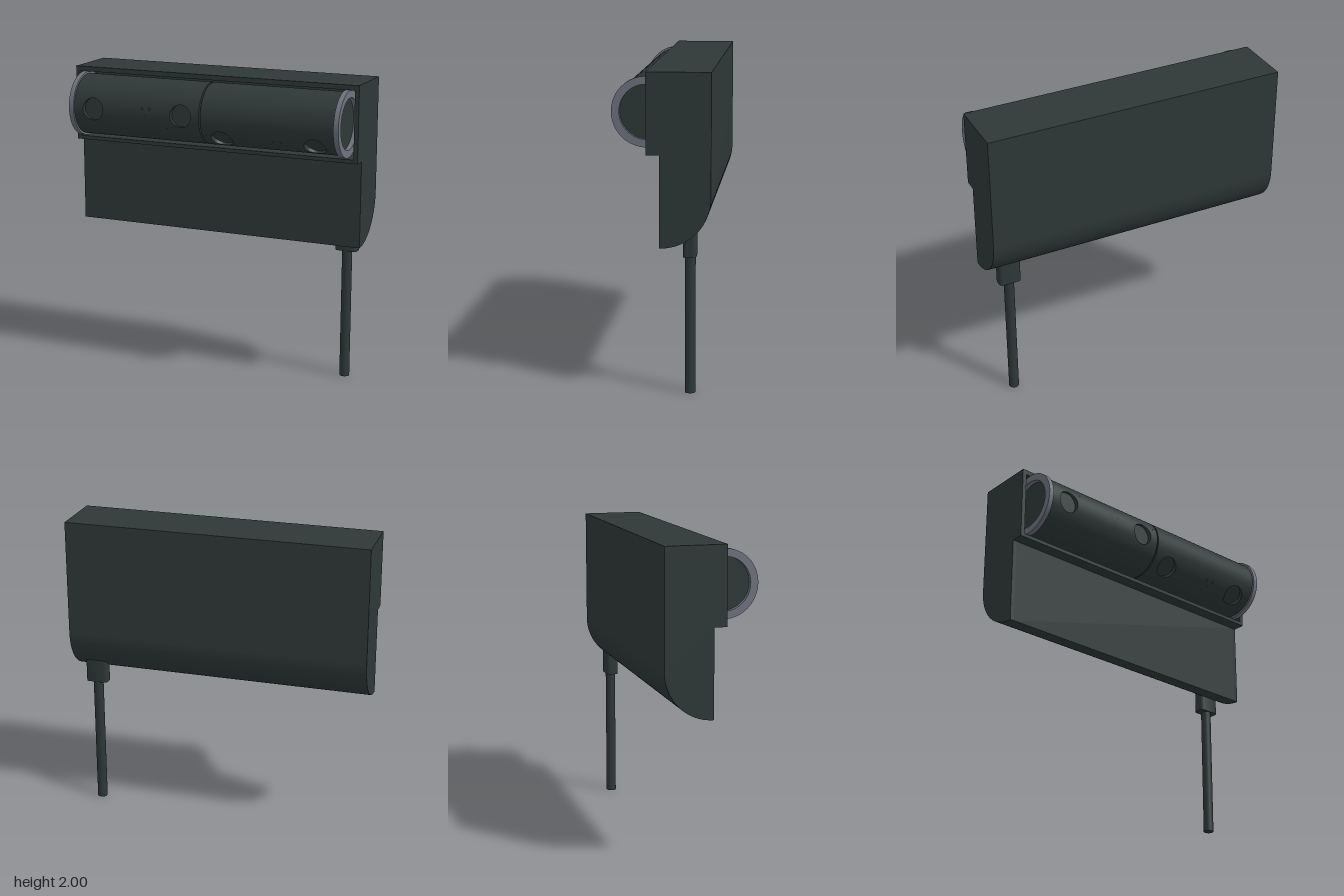
import * as THREE from 'three';
import { mergeGeometries, toCreasedNormals } from 'three/addons/utils/BufferGeometryUtils.js';

const R = 0.2;            // barrel radius
const HOLE = 0.073;       // lens hole radius
const H = 0.1;            // half width of the surface patch around a lens hole
const FLOOR = 0.168;      // distance of the lens floor from the barrel axis
const AXIS_Y = 1.755, AXIS_Z = 0.09;

// Surface from a rule fn(u, v) -> [x, y, z]; it faces du x dv
function grid(fn, nu, nv) {
  const pos = [], idx = [];
  for (let j = 0; j <= nv; j++)
    for (let i = 0; i <= nu; i++) pos.push(...fn(i / nu, j / nv));
  const w = nu + 1;
  for (let j = 0; j < nv; j++)
    for (let i = 0; i < nu; i++) {
      const a = j * w + i;
      idx.push(a, a + 1, a + w + 1, a, a + w + 1, a + w);
    }
  const g = new THREE.BufferGeometry();
  g.setAttribute('position', new THREE.Float32BufferAttribute(pos, 3));
  g.setIndex(idx);
  return g;
}

const onBarrel = (x, y) => [x, y, Math.sqrt(R * R - y * y)];

// Closed tube from x0 to x1 with round lens holes facing +z
function barrelGeometry(x0, x1, lenses) {
  const a = Math.asin(H / R), parts = [];
  const turn = v => v * Math.PI * 2;
  parts.push(grid((u, v) => {
    const t = a + v * (Math.PI * 2 - 2 * a);
    return [x0 + u * (x1 - x0), R * Math.sin(t), R * Math.cos(t)];
  }, 1, 56));
  // plain stretches of the front band, between the lens patches
  const stops = [x0, ...lenses.flatMap(c => [c - H, c + H]), x1];
  for (let i = 0; i < stops.length; i += 2) {
    parts.push(grid((u, v) =>
      onBarrel(stops[i] + u * (stops[i + 1] - stops[i]), R * Math.sin(a * (2 * v - 1))), 1, 12));
  }
  for (const c of lenses) {
    // skin from the round hole out to a square
    parts.push(grid((u, v) => {
      const x = Math.cos(turn(v)), y = Math.sin(turn(v));
      const r = HOLE + u * (H / Math.max(Math.abs(x), Math.abs(y)) - HOLE);
      return onBarrel(c + r * x, Math.max(-H, Math.min(H, r * y)));
    }, 5, 48));
    // hole wall
    parts.push(grid((u, v) => {
      const x = HOLE * Math.cos(turn(v)), y = HOLE * Math.sin(turn(v));
      return [c + x, y, FLOOR + u * (Math.sqrt(R * R - y * y) - FLOOR)];
    }, 1, 48));
  }
  // end faces
  for (const [x, s] of [[x0, 1], [x1, -1]]) {
    parts.push(grid((u, v) =>
      [x, u * R * Math.sin(s * turn(v)), u * R * Math.cos(s * turn(v))], 1, 64));
  }
  return toCreasedNormals(mergeGeometries(parts), 0.5);
}

// Extrude a (-z, y) profile along x
function extrudeX(shape, x0, x1) {
  const g = new THREE.ExtrudeGeometry(shape, { depth: x1 - x0, bevelEnabled: false, curveSegments: 32 });
  g.rotateY(Math.PI / 2).translate(x0, 0, 0);
  return toCreasedNormals(g, 0.5);
}

// Side profile of the housing, with or without the barrel recess
function housingProfile(recessed) {
  const s = new THREE.Shape();
  s.moveTo(-0.01, 0.94);
  s.absarc(-0.01, 1.25, 0.31, -Math.PI / 2, 0, false);
  s.lineTo(0.3, 2);
  s.lineTo(-0.09, 2);
  if (recessed) {
    s.lineTo(-0.09, 1.968);
    s.lineTo(0.14, 1.968);
    s.lineTo(0.14, 1.53);
    s.lineTo(-0.09, 1.53);
  }
  s.lineTo(-0.09, 1.505);
  s.lineTo(-0.01, 1.505);
  s.closePath();
  return s;
}

export function createModel() {
  const model = new THREE.Group();
  const shell = new THREE.MeshStandardMaterial({ name: 'dark shell', color: 0x2e3837 });
  const trim = new THREE.MeshStandardMaterial({ name: 'grey trim', color: 0x6f727d });
  const dark = new THREE.MeshStandardMaterial({ name: 'sensor dark', color: 0x222a2a });
  const add = (name, geometry, material, parent = model) => {
    const m = new THREE.Mesh(geometry, material);
    m.name = name;
    parent.add(m);
    return m;
  };

  // Housing: recessed middle and two solid cheeks
  add('housing', extrudeX(housingProfile(true), -0.965, 0.965), shell);
  for (const s of [-1, 1]) {
    const cheek = extrudeX(housingProfile(false), s < 0 ? -0.993 : 0.965, s < 0 ? -0.965 : 0.993);
    add(s < 0 ? 'rightCheek' : 'leftCheek', cheek, shell);
  }

  // Two swivelling camera barrels; the left one is tilted down
  const barrels = [
    { name: 'rightBarrel', x0: -0.905, x1: -0.005, lenses: [-0.765, -0.135], mic: -0.38, tilt: 0, end: -1 },
    { name: 'leftBarrel', x0: 0.005, x1: 0.905, lenses: [0.133, 0.763], mic: 0.515, tilt: Math.PI / 4, end: 1 },
  ];
  for (const b of barrels) {
    const group = new THREE.Group();
    group.name = b.name;
    group.position.set(0, AXIS_Y, AXIS_Z);
    group.rotation.x = b.tilt;
    model.add(group);
    add('barrelShell', barrelGeometry(b.x0, b.x1, b.lenses), shell, group);
    for (const x of b.lenses)
      add('lens', new THREE.CircleGeometry(HOLE, 48).translate(x, 0, FLOOR), shell, group);
    // three small sensor dots
    for (const [dx, y, r] of [[-0.026, 0.03, 0.013], [0.026, 0.03, 0.013], [0, -0.012, 0.007]]) {
      const dot = add('sensorDot', new THREE.CircleGeometry(r, 20), dark, group);
      const t = Math.asin(y / R);
      dot.rotation.x = -t;
      dot.position.set(b.mic + dx, (R + 0.001) * Math.sin(t), (R + 0.001) * Math.cos(t));
    }
    // trim ring on the outer end
    const ring = new THREE.Shape().absarc(0, 0, 0.213, 0, Math.PI * 2, false);
    ring.holes.push(new THREE.Path().absarc(0, 0, 0.165, 0, Math.PI * 2, true));
    add('endRing', extrudeX(ring, b.end < 0 ? -0.935 : 0.902, b.end < 0 ? -0.902 : 0.935), trim, group);
  }

  // Cable plug with rounded corners, tucked under the curved back
  const w = 0.073, d = 0.04, c = 0.022;
  const plug = new THREE.Shape();
  plug.absarc(w - c, d - c, c, 0, Math.PI / 2, false);
  plug.absarc(c - w, d - c, c, Math.PI / 2, Math.PI, false);
  plug.absarc(c - w, c - d, c, Math.PI, Math.PI * 1.5, false);
  plug.absarc(w - c, c - d, c, Math.PI * 1.5, Math.PI * 2, false);
  const plugGeometry = new THREE.ExtrudeGeometry(plug, { depth: 0.18, bevelEnabled: false, curveSegments: 8 });
  plugGeometry.rotateX(-Math.PI / 2);
  add('cablePlug', toCreasedNormals(plugGeometry, 0.5), shell).position.set(0.853, 0.87, -0.165);

  // Cable
  add('cable', new THREE.CylinderGeometry(0.033, 0.033, 0.9, 32), shell).position.set(0.853, 0.45, -0.165);

  return model;
}
